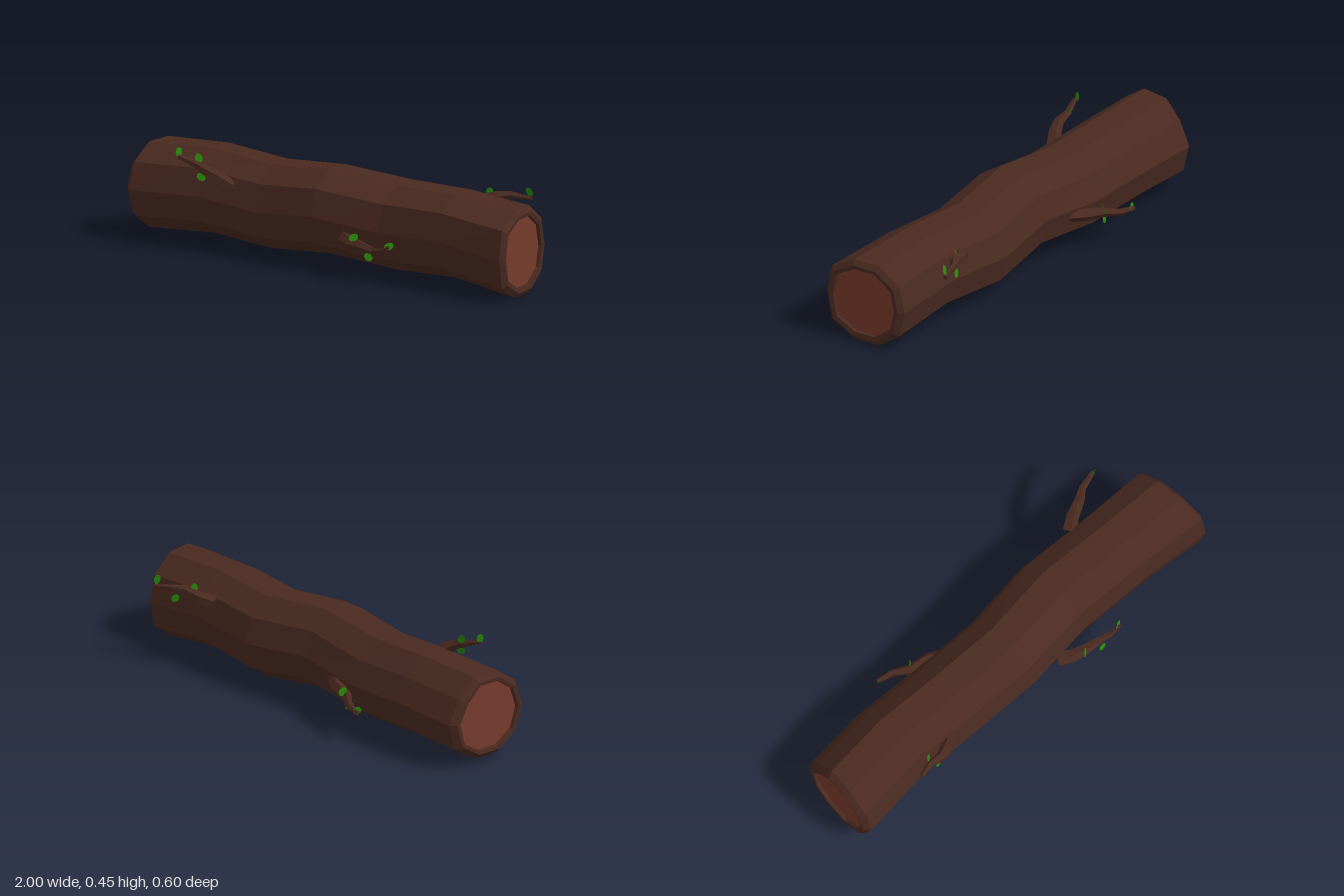
import * as THREE from 'three';

const SIDES = 10;
// Slight unevenness of the trunk outline at its two ends, blended along x
const RIGHT_SHAPE = [1, 1, 1, 1, 0.9, 1, 1.04, 1, 1, 1];
const LEFT_SHAPE = [1, 1.09, 1, 1, 1, 0.94, 1, 1, 1, 1.08];

// Skin a run of equally sized point rings with flat facets
function skin(rings) {
  const n = rings[0].length, pos = [];
  for (let i = 0; i < rings.length - 1; i++) {
    for (let j = 0; j < n; j++) {
      const k = (j + 1) % n;
      const a = rings[i][j], b = rings[i + 1][j], c = rings[i + 1][k], d = rings[i][k];
      for (const p of [a, b, c, a, c, d]) pos.push(p.x, p.y, p.z);
    }
  }
  const g = new THREE.BufferGeometry();
  g.setAttribute('position', new THREE.Float32BufferAttribute(pos, 3));
  g.computeVertexNormals();
  return g;
}

// Ring across the log; tilt leans the ring's plane
function logRing([x, y, z, r, tilt = 0]) {
  return Array.from({ length: SIDES }, (_, j) => {
    const a = (j / SIDES) * Math.PI * 2;
    const rj = r * THREE.MathUtils.lerp(RIGHT_SHAPE[j], LEFT_SHAPE[j], (x + 1) / 2);
    const dz = Math.cos(a) * rj;
    return new THREE.Vector3(x + tilt * dz, y + Math.sin(a) * rj, z + dz);
  });
}

// Tapered five-sided twig along a short path
function twigGeometry(path, radii) {
  const pts = path.map(p => new THREE.Vector3(...p));
  const up = new THREE.Vector3(0, 1, 0), last = pts.length - 1;
  const rings = pts.map((p, i) => {
    const dir = pts[Math.min(i + 1, last)].clone().sub(pts[Math.max(i - 1, 0)]).normalize();
    const side = dir.clone().cross(up).normalize(), lift = side.clone().cross(dir);
    return Array.from({ length: 5 }, (_, j) => {
      const a = (j / 5) * Math.PI * 2;
      return p.clone().addScaledVector(side, Math.cos(a) * radii[i]).addScaledVector(lift, Math.sin(a) * radii[i]);
    });
  });
  rings.push(rings[last].map(() => pts[last].clone()));
  return skin(rings);
}

export function createModel() {
  const bark = new THREE.MeshStandardMaterial({ color: 0x4a2a20 });
  bark.name = 'bark';
  const wood = new THREE.MeshStandardMaterial({ color: 0x763a2c });
  wood.name = 'cutWood';
  const green = new THREE.MeshStandardMaterial({ color: 0x278a08, side: THREE.DoubleSide });
  green.name = 'leafGreen';

  const model = new THREE.Group();
  model.name = 'fallenLog';
  const add = (parent, name, geometry, material) => {
    const m = new THREE.Mesh(geometry, material);
    m.name = name;
    parent.add(m);
    return m;
  };

  // Trunk: recess, bevelled rim, wavy body, rim, recess [x, y, z, radius, tilt]
  const rings = [
    [-0.962, 0.22, -0.03, 0.156, -0.11],
    [-0.978, 0.22, -0.03, 0.158, -0.11],
    [-0.98, 0.22, -0.03, 0.174, -0.11],
    [-0.955, 0.22, -0.03, 0.198, -0.11],
    [-0.64, 0.235, -0.037, 0.194],
    [-0.32, 0.215, -0.01, 0.193],
    [-0.01, 0.242, 0.022, 0.192],
    [0.32, 0.212, -0.003, 0.195],
    [0.64, 0.225, 0.033, 0.19],
    [0.968, 0.194, 0.062, 0.2, 0.08],
    [0.985, 0.194, 0.064, 0.177, 0.08],
    [0.982, 0.195, 0.066, 0.158, 0.08],
    [0.966, 0.194, 0.066, 0.156, 0.08],
  ];
  add(model, 'trunk', skin(rings.map(logRing)), bark);

  // Cut faces set into both ends
  const disc = (ring, rightEnd) => {
    const centre = [ring[0], ring[1], ring[2], 0];
    return skin((rightEnd ? [centre, ring] : [ring, centre]).map(logRing));
  };
  add(model, 'rightCutFace', disc(rings[0], true), wood);
  add(model, 'leftCutFace', disc(rings[rings.length - 1], false), wood);

  // Twigs with three leaves each [x, y, z, yaw, roll]
  const twigs = [
    {
      name: 'frontRightTwig',
      path: [[-0.465, 0.295, 0.145], [-0.52, 0.338, 0.175], [-0.57, 0.365, 0.19], [-0.625, 0.385, 0.185], [-0.7, 0.412, 0.203]],
      leaves: [[-0.703, 0.428, 0.193, 1.1, 0.2], [-0.62, 0.407, 0.165, 0.6, 0.5], [-0.588, 0.335, 0.195, 0.3, 1.2]],
    },
    {
      name: 'frontLeftTwig',
      path: [[0.145, 0.166, 0.19], [0.2, 0.163, 0.228], [0.26, 0.162, 0.247], [0.335, 0.152, 0.26], [0.39, 0.165, 0.28], [0.435, 0.185, 0.285]],
      leaves: [[0.24, 0.198, 0.265, 0.6, -1], [0.328, 0.128, 0.283, 0.2, 1.1], [0.43, 0.187, 0.278, 0.4, -1.1]],
    },
    {
      name: 'backRightTwig',
      path: [[-0.17, 0.195, -0.15], [-0.24, 0.185, -0.2], [-0.32, 0.17, -0.225], [-0.385, 0.158, -0.275], [-0.455, 0.155, -0.295]],
      leaves: [[-0.31, 0.195, -0.24, 0.9, 0.4], [-0.335, 0.132, -0.225, 0.3, 0.8], [-0.445, 0.163, -0.29, 0.3, 1]],
    },
    {
      name: 'backLeftTwig',
      path: [[0.56, 0.31, -0.135], [0.615, 0.328, -0.168], [0.68, 0.35, -0.19], [0.725, 0.355, -0.217], [0.815, 0.345, -0.238]],
      leaves: [[0.645, 0.365, -0.17, 0.6, -0.3], [0.71, 0.315, -0.22, 0.2, 0.9], [0.808, 0.375, -0.23, 0.2, 0.2]],
    },
  ];
  const radii = [0.033, 0.029, 0.023, 0.016, 0.01, 0.007];
  const leafShape = new THREE.CircleGeometry(1, 8);
  for (const { name, path, leaves } of twigs) {
    const group = new THREE.Group();
    group.name = name;
    add(group, 'twig', twigGeometry(path, radii), bark);
    for (const [x, y, z, yaw, roll] of leaves) {
      const leaf = add(group, 'leaf', leafShape, green);
      leaf.position.set(x, y, z);
      leaf.rotation.set(-0.3 * Math.sign(z), yaw, roll);
      leaf.scale.set(0.016, 0.022, 1);
    }
    model.add(group);
  }
  return model;
}
